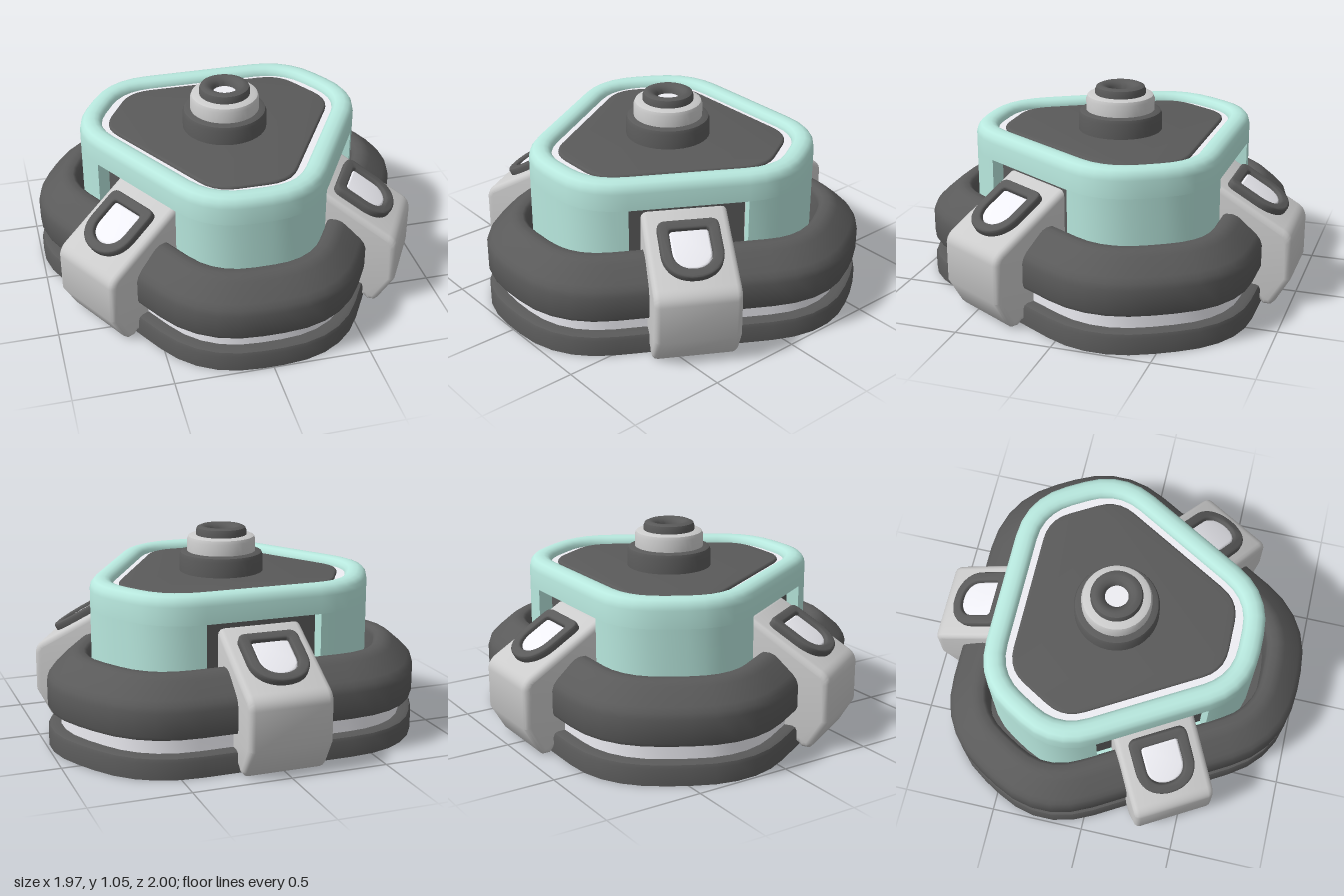
import * as THREE from 'three';
import { toCreasedNormals } from 'three/addons/utils/BufferGeometryUtils.js';

const material = (color) => new THREE.MeshStandardMaterial({ color });
const DARK = material(0x5a5a5a), GREY = material(0xbcbcbc), PALE = material(0xeeeef4), TEAL = material(0xb8e8de);

const CENTRE_Z = -0.025;
const SEG = 5; // segments per softened corner

// Triangles with cut, softened corners: d = edge distance, a = corner distance, t = softening length
const BASE = { d: 0.825, a: 1.02, t: 0.31 };
const BODY = { d: 0.62, a: 0.765, t: 0.225 };
const TOP = { d: 0.505, a: 0.64, t: 0.135 };

// Outline of a softened triangle, inset by o; 12 points per corner
function outline({ d, a, t }, o) {
  d -= o; a -= o; t -= o * 0.577;
  const half = (2 * d - a) / Math.sqrt(3);
  const dir = (angle) => new THREE.Vector2(Math.cos(angle), Math.sin(angle));
  const points = [];
  for (let c = 0; c < 3; c++) {
    const phi = -Math.PI / 6 + (c * 2 * Math.PI) / 3;
    const along = phi + Math.PI / 2;
    for (const side of [-1, 1]) {
      const p = dir(phi).multiplyScalar(a).addScaledVector(dir(along), side * half);
      const into = dir(side < 0 ? along - Math.PI / 3 : along);
      const out = dir(side < 0 ? along : along + Math.PI / 3);
      const start = p.clone().addScaledVector(into, -t);
      const end = p.clone().addScaledVector(out, t);
      points.push(...new THREE.QuadraticBezierCurve(start, p, end).getPoints(SEG));
    }
  }
  return points;
}

// Sweeps a closed [inset, y] profile round the outline; a range of points makes a capped wall
function sweep(base, profile, from = 0, count = 0) {
  const closed = count === 0;
  const loops = profile.map(([o]) => outline(base, o));
  const n = closed ? loops[0].length : count;
  const m = profile.length;
  const positions = [], index = [];
  for (let j = 0; j < n; j++) {
    for (let k = 0; k < m; k++) {
      const p = loops[k][from + j];
      positions.push(p.x, profile[k][1], p.y);
    }
  }
  for (let j = 0; j < (closed ? n : n - 1); j++) {
    for (let k = 0; k < m; k++) {
      const j2 = (j + 1) % n, k2 = (k + 1) % m;
      const a = j * m + k, b = j2 * m + k, c = j2 * m + k2, d = j * m + k2;
      index.push(a, d, c, a, c, b);
    }
  }
  if (!closed) {
    const last = (n - 1) * m;
    for (let k = 1; k < m - 1; k++) index.push(0, k + 1, k, last, last + k, last + k + 1);
  }
  const geometry = new THREE.BufferGeometry();
  geometry.setAttribute('position', new THREE.Float32BufferAttribute(positions, 3));
  geometry.setIndex(index);
  return toCreasedNormals(geometry, 0.72);
}

function add(parent, name, geometry, mat) {
  const mesh = new THREE.Mesh(geometry, mat);
  mesh.name = name;
  parent.add(mesh);
  return mesh;
}

function extrude(shape, depth, bevel) {
  const geometry = new THREE.ExtrudeGeometry(shape, {
    depth: depth - 2 * bevel, bevelEnabled: true, bevelThickness: bevel,
    bevelSize: bevel, bevelOffset: -bevel, bevelSegments: 3, curveSegments: 10,
  });
  geometry.translate(0, 0, bevel);
  return toCreasedNormals(geometry, 0.6);
}

function lathe(points) {
  return toCreasedNormals(new THREE.LatheGeometry(points.map(([x, y]) => new THREE.Vector2(x, y)), 40), 0.72);
}

// D outline: straight inner end with small rounds, arched outer end
function badgeShape(x0, x1, w, r) {
  const s = new THREE.Shape();
  const arch = w * 0.95;
  s.moveTo(x0 + r, -w);
  s.lineTo(x1 - arch, -w);
  s.bezierCurveTo(x1 - arch * 0.4, -w, x1, -w * 0.6, x1, 0);
  s.bezierCurveTo(x1, w * 0.6, x1 - arch * 0.4, w, x1 - arch, w);
  s.lineTo(x0 + r, w);
  s.quadraticCurveTo(x0, w, x0, w - r);
  s.lineTo(x0, -w + r);
  s.quadraticCurveTo(x0, -w, x0 + r, -w);
  return s;
}

// Clamp with its sloped badge and the dark panel behind it, facing local +x
function makeClamp() {
  const group = new THREE.Group();
  group.name = 'clamp';

  const s = new THREE.Shape();
  s.moveTo(0.46, 0.06);
  s.lineTo(0.82, 0.02);
  s.lineTo(0.84, 0);
  s.lineTo(0.88, 0);
  s.lineTo(0.9, 0.02);
  s.lineTo(0.975, 0.15);
  s.lineTo(0.975, 0.35);
  s.quadraticCurveTo(0.975, 0.395, 0.93, 0.422);
  s.lineTo(0.56, 0.638);
  s.quadraticCurveTo(0.54, 0.648, 0.51, 0.648);
  s.lineTo(0.43, 0.648);
  s.lineTo(0.43, 0.5);
  const width = 0.435;
  add(group, 'clampBlock', extrude(s, width, 0.03), GREY).position.z = -width / 2;

  const badge = new THREE.Group();
  badge.name = 'badge';
  badge.rotation.set(-Math.PI / 2, 0, -0.532, 'ZYX');
  badge.position.set(0.758, 0.523, 0);
  const frame = badgeShape(-0.163, 0.163, 0.155, 0.045);
  frame.holes.push(new THREE.Path(badgeShape(-0.11, 0.11, 0.1, 0.02).getPoints(10)));
  add(badge, 'badgeFrame', extrude(frame, 0.055, 0.012), DARK).position.z = -0.018;
  add(badge, 'badgeInsert', extrude(badgeShape(-0.108, 0.108, 0.098, 0.02), 0.04, 0.01), PALE).position.z = -0.018;
  group.add(badge);

  add(group, 'recessPanel', new THREE.BoxGeometry(0.03, 0.42, 0.62), DARK).position.set(0.53, 0.49, 0);
  return group;
}

export function createModel() {
  const root = new THREE.Group();
  root.name = 'device';
  const model = new THREE.Group();
  model.name = 'assembly';
  model.position.z = CENTRE_Z;
  root.add(model);

  // Base: thin lower skirt, thin pale band, and an upper ring with a floor reaching the body
  add(model, 'lowerRing', sweep(BASE, [
    [0, 0], [0, 0.085], [0.008, 0.103], [0.025, 0.11], [0.075, 0.11], [0.075, 0.1], [0.022, 0.1], [0.01, 0.08], [0.01, 0],
  ]), DARK);
  add(model, 'paleBand', sweep(BASE, [[0.065, 0.1], [0.065, 0.2], [0.075, 0.2], [0.075, 0.1]]), PALE);
  add(model, 'upperRing', sweep(BASE, [
    [0.025, 0.19], [0.008, 0.197], [0, 0.215], [0, 0.33], [0.01, 0.36], [0.03, 0.385],
    [0.11, 0.455], [0.13, 0.47], [0.155, 0.478], [0.19, 0.478], [0.205, 0.468], [0.213, 0.445],
    [0.213, 0.24], [0.275, 0.24], [0.275, 0.19],
  ]), DARK);

  // Body: rim and sill all round, with walls at the three corners leaving recesses between
  add(model, 'bodyRim', sweep(BODY, [
    [0, 0.69], [0, 0.78], [0.006, 0.807], [0.023, 0.827], [0.048, 0.835], [0.075, 0.835],
    [0.095, 0.829], [0.11, 0.814], [0.115, 0.795], [0.115, 0.74], [0.08, 0.72], [0.08, 0.69],
  ]), TEAL);
  const perCorner = 2 * (SEG + 1);
  for (let c = 0; c < 3; c++) {
    add(model, 'bodyWall', sweep(BODY, [[0, 0.25], [0, 0.69], [0.08, 0.69], [0.08, 0.25]], c * perCorner, perCorner), TEAL);
  }
  add(model, 'bodySill', sweep(BODY, [[0, 0.185], [0, 0.27], [0.07, 0.27], [0.07, 0.185]]), TEAL);

  // Top: pale trim and dark plate
  add(model, 'topTrim', sweep(TOP, [[-0.01, 0.74], [-0.01, 0.795], [0.06, 0.795], [0.06, 0.74]]), PALE);
  const plate = extrude(new THREE.Shape(outline(TOP, 0.035)), 0.07, 0.012);
  plate.rotateX(Math.PI / 2);
  add(model, 'topPlate', plate, DARK).position.y = 0.81;

  // Stepped knob
  add(model, 'knobBase', lathe([
    [0, 0.78], [0.22, 0.78], [0.22, 0.89], [0.213, 0.908], [0.196, 0.915], [0, 0.915],
  ]), DARK);
  add(model, 'knobCollar', lathe([
    [0, 0.91], [0.18, 0.91], [0.18, 0.975], [0.173, 0.993], [0.156, 1.0], [0, 1.0],
  ]), GREY);
  add(model, 'knobCap', lathe([
    [0.058, 0.99], [0.133, 0.99], [0.133, 1.022], [0.127, 1.038], [0.11, 1.046],
    [0.095, 1.046], [0.075, 1.036], [0.062, 1.02], [0.058, 0.99],
  ]), DARK);
  add(model, 'knobCentre', new THREE.CylinderGeometry(0.06, 0.06, 0.03, 32), PALE).position.y = 0.988;

  // Clamps on the three straight sides; the two side ones sit slightly forward
  for (let k = 0; k < 3; k++) {
    const clamp = makeClamp();
    clamp.rotation.y = Math.PI / 2 + (k * 2 * Math.PI) / 3;
    clamp.position.z = k === 0 ? 0 : 0.018;
    model.add(clamp);
  }
  return root;
}
